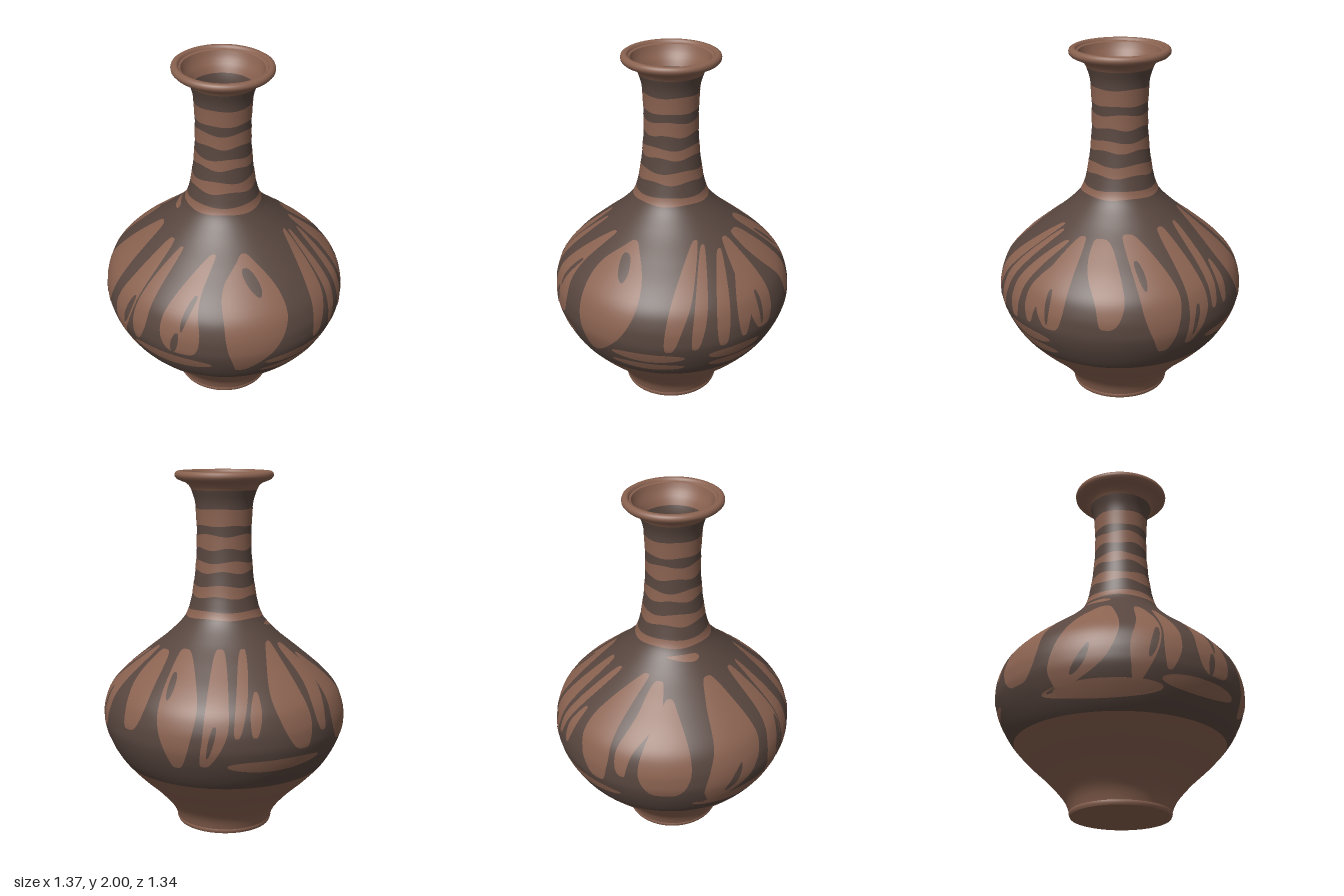
import * as THREE from 'three';

// The pot is a thin open shell, so both sides show
const clay = new THREE.MeshStandardMaterial({ color: 0x8a6250, side: THREE.DoubleSide });
clay.name = 'clay';
const slip = new THREE.MeshStandardMaterial({ color: 0x58463f, side: THREE.DoubleSide });
slip.name = 'darkSlip';

// Outer profile, [radius, height]
const profile = new THREE.SplineCurve([
  [0.267, 0], [0.273, 0.03], [0.306, 0.1], [0.393, 0.2], [0.5, 0.3], [0.59, 0.4],
  [0.648, 0.5], [0.68, 0.59], [0.685, 0.65], [0.677, 0.72], [0.641, 0.81], [0.56, 0.9], [0.44, 1.0],
  [0.315, 1.1], [0.22, 1.2], [0.185, 1.3], [0.168, 1.4], [0.157, 1.5], [0.152, 1.6],
  [0.152, 1.7], [0.157, 1.8], [0.165, 1.85], [0.182, 1.9],
].map(([r, y]) => new THREE.Vector2(r, y))).getPoints(420);

function radiusAt(y) {
  const i = Math.min(Math.max(profile.findIndex((p) => p.y >= y), 1), profile.length - 1);
  const a = profile[i - 1], b = profile[i];
  return THREE.MathUtils.mapLinear(y, a.y, b.y, a.x, b.x);
}

// Hand-thrown unevenness: sections are oval, foot and neck sit slightly forward of the belly
function makeUneven(geo) {
  const pos = geo.attributes.position;
  for (let i = 0; i < pos.count; i++) {
    const y = pos.getY(i);
    const forward = 0.005 * Math.min(1, Math.abs(y - 0.65) / 0.6);
    pos.setZ(i, pos.getZ(i) * 0.974 + forward);
  }
  geo.computeBoundingSphere();
  return geo;
}

// Curved sheet lying on the pot; at(u, v) gives [angle, height], v runs downwards
function sheet(nu, nv, lift, at) {
  const pos = [], index = [];
  for (let j = 0; j <= nv; j++) for (let i = 0; i <= nu; i++) {
    const [a, y] = at(i / nu, j / nv);
    const r = radiusAt(y) + lift;
    pos.push(r * Math.sin(a), y, r * Math.cos(a));
    if (i < nu && j < nv) {
      const p = j * (nu + 1) + i, q = p + nu + 1;
      index.push(p, q, p + 1, q, q + 1, p + 1);
    }
  }
  const geo = new THREE.BufferGeometry();
  geo.setAttribute('position', new THREE.Float32BufferAttribute(pos, 3));
  geo.setIndex(index);
  geo.computeVertexNormals();
  return geo;
}

// Brush-shaped patch seen from a given side: rows of [height, left, right], top first.
// Two rows make a pointed stroke, more rows a blunt-ended patch.
function brushPatch(facing, rows, lift) {
  const spine = new THREE.CatmullRomCurve3(rows.map((r) => new THREE.Vector3(...r)));
  const bluntness = rows.length > 2 ? 0.27 : 0.6;
  return sheet(10, 32, lift, (u, v) => {
    const t = (1 - Math.cos(Math.PI * v)) / 2;
    const p = spine.getPoint(t);
    const width = Math.pow(Math.max(0, Math.sin(Math.PI * t)), bluntness);
    const x = (p.y + p.z) / 2 + (p.z - p.y) * (u - 0.5) * width;
    const s = THREE.MathUtils.clamp(x / radiusAt(p.x), -1, 1);
    return [THREE.MathUtils.degToRad(facing) + Math.asin(s), p.x];
  });
}

// Bare clay patches left in the dark glaze, grouped by the side they face (degrees)
const barePatches = {
  0: [
    [[1.08, -0.26, -0.16], [0.92, -0.42, -0.23], [0.76, -0.53, -0.29], [0.6, -0.58, -0.36], [0.5, -0.56, -0.45]],
    [[1.07, -0.1, -0.02], [0.9, -0.16, -0.05], [0.7, -0.24, -0.09], [0.5, -0.24, -0.16]],
    [[1.06, 0, 0.05], [0.9, -0.04, 0.04], [0.7, -0.07, 0.03], [0.58, -0.07, -0.01]],
    [[1.06, 0.17, 0.23], [0.9, 0.14, 0.27], [0.75, 0.12, 0.34], [0.6, 0.11, 0.38]],
    [[0.525, -0.56, -0.05], [0.435, -0.58, -0.08]],
    [[0.57, -0.05, 0.38], [0.49, -0.11, 0.4]],
    [[1.18, -0.24, -0.15], [1.145, -0.24, -0.15]],
  ],
  90: [
    [[1.06, -0.23, -0.15], [0.94, -0.4, -0.14], [0.81, -0.48, -0.18], [0.65, -0.51, -0.26], [0.49, -0.47, -0.37]],
    [[1.07, 0.1, 0.17], [0.86, 0.01, 0.12], [0.7, -0.03, 0.06], [0.59, -0.05, 0.03]],
    [[1.05, 0.15, 0.2], [0.8, 0.13, 0.2], [0.6, 0.1, 0.17]],
    [[1.02, 0.24, 0.29], [0.82, 0.25, 0.32], [0.6, 0.25, 0.33]],
    [[0.96, 0.34, 0.38], [0.8, 0.36, 0.44], [0.62, 0.38, 0.43]],
    [[0.565, -0.32, 0.08], [0.5, -0.32, 0.08]],
    [[0.485, -0.32, 0.08], [0.43, -0.32, 0.08]],
    [[0.57, 0.21, 0.49], [0.5, 0.21, 0.49]],
    [[0.49, 0.2, 0.48], [0.425, 0.23, 0.48]],
    [[0.56, -0.63, -0.56], [0.5, -0.62, -0.55]],
  ],
  140: [
    [[1.05, -0.04, 0.05], [0.9, -0.1, 0.06], [0.76, -0.12, 0.07], [0.62, -0.1, 0.07]],
  ],
  215: [
    [[1.05, -0.36, -0.28], [0.88, -0.5, -0.39], [0.67, -0.57, -0.47]],
    [[1.07, -0.27, -0.15], [0.85, -0.35, -0.15], [0.7, -0.36, -0.18], [0.51, -0.31, -0.21]],
    [[1.08, -0.08, 0.02], [0.85, -0.11, 0.01], [0.7, -0.13, 0], [0.53, -0.17, -0.07]],
    [[1.08, 0.06, 0.12], [0.9, 0.05, 0.11], [0.69, 0.02, 0.08]],
    [[0.9, 0.13, 0.17], [0.8, 0.12, 0.18], [0.69, 0.12, 0.17]],
    [[1.1, 0.2, 0.26], [0.9, 0.22, 0.38], [0.75, 0.28, 0.45], [0.6, 0.34, 0.47]],
    [[1.08, 0.27, 0.32], [0.9, 0.42, 0.49], [0.67, 0.49, 0.55]],
    [[0.56, 0, 0.5], [0.49, 0, 0.48]],
  ],
  288: [
    [[1.02, -0.06, 0.03], [0.85, -0.15, 0.09], [0.7, -0.19, 0.11], [0.57, -0.18, 0.1]],
  ],
};

// Dark slits and spots inside the bare patches
const darkSpots = {
  0: [
    [[0.71, -0.43, -0.41], [0.55, -0.51, -0.45]],
    [[0.82, -0.1, -0.07], [0.63, -0.17, -0.12]],
    [[0.91, 0.23, 0.26], [0.74, 0.23, 0.26]],
    [[0.73, 0.21, 0.24], [0.6, 0.18, 0.23]],
  ],
  90: [[[1.01, -0.26, -0.21], [0.9, -0.3, -0.23]]],
  140: [[[0.83, -0.05, -0.02], [0.64, -0.05, -0.02]]],
  215: [
    [[0.97, -0.28, -0.25], [0.85, -0.33, -0.29]],
    [[0.75, -0.08, -0.05], [0.58, -0.12, -0.09]],
  ],
};

export function createModel() {
  const pot = new THREE.Group();
  pot.name = 'paintedVase';
  const add = (name, geo, mat) => {
    const mesh = new THREE.Mesh(makeUneven(geo), mat);
    mesh.name = name;
    pot.add(mesh);
  };
  const lathe = (name, mat, pts) =>
    add(name, new THREE.LatheGeometry(pts.map(([r, y]) => new THREE.Vector2(r, y)), 128), mat);
  const wall = (y0, y1, n) => Array.from({ length: n + 1 }, (_, i) => {
    const y = y0 + (y1 - y0) * i / n;
    return [radiusAt(y), y];
  });

  // Base, plain lower body, glazed body and neck
  lathe('base', clay, [[0, 0], [0.267, 0]]);
  lathe('footRidge', clay, [[0.267, 0], [0.271, 0.008], [0.274, 0.018], [0.271, 0.026]]);
  lathe('lowerBody', clay, wall(0, 0.382, 24));
  lathe('glazedBody', slip, wall(0.382, 1.9, 100));

  // Flared rim and the lip inside the mouth
  lathe('rim', clay, [
    [0.182, 1.9], [0.193, 1.92], [0.21, 1.936], [0.238, 1.946], [0.26, 1.956], [0.271, 1.968],
    [0.273, 1.98], [0.269, 1.992], [0.258, 1.999], [0.245, 2], [0.236, 1.995], [0.232, 1.985],
  ]);
  lathe('mouthLedge', clay, [[0.232, 1.985], [0.221, 1.98]]);
  lathe('mouthLip', clay, [[0.221, 1.98], [0.214, 1.958], [0.203, 1.935], [0.189, 1.915], [0.178, 1.897], [0.168, 1.873]]);

  // Wavy bare bands around the neck, [top, bottom]
  [[1.8, 1.71], [1.66, 1.585], [1.515, 1.46], [1.385, 1.325], [1.25, 1.21]].forEach(([top, bottom], k) => {
    const wave = k === 0 || k === 4 ? 0.003 : 0.007;
    add('neckBand', sheet(128, 6, 0.0015, (u, v) => {
      const a = u * Math.PI * 2;
      const upper = top + wave * Math.sin(4 * a + k * 2);
      const lower = bottom + wave * Math.sin(5 * a + k);
      return [a, upper + (lower - upper) * v];
    }), clay);
  });

  // Brushwork on the body
  const paint = (name, sets, mat, lift) => {
    for (const [facing, list] of Object.entries(sets)) {
      list.forEach((rows) => add(name, brushPatch(Number(facing), rows, lift), mat));
    }
  };
  paint('barePatch', barePatches, clay, 0.0015);
  paint('darkSpot', darkSpots, slip, 0.003);
  return pot;
}
